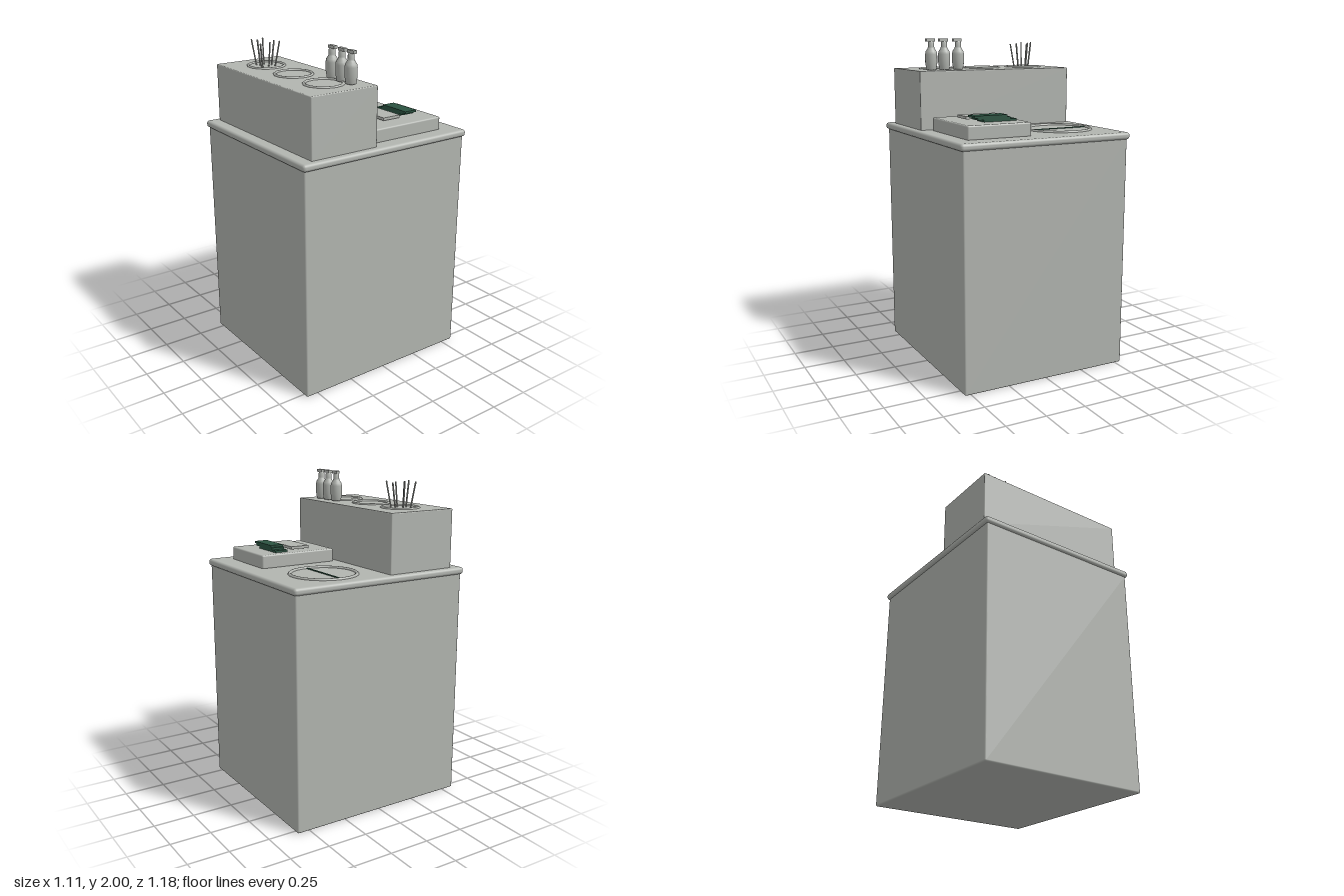
import * as THREE from 'three';
import { RoundedBoxGeometry } from 'three/addons/geometries/RoundedBoxGeometry.js';

const grey = new THREE.MeshStandardMaterial({ name: 'stone grey', color: 0xb2b5b0 });
const green = new THREE.MeshStandardMaterial({ name: 'dark green', color: 0x2b5341 });

export function createModel() {
  const model = new THREE.Group();
  model.name = 'servingCounter';

  const add = (name, geometry, material, x = 0, y = 0, z = 0, parent = model) => {
    const mesh = new THREE.Mesh(geometry, material);
    mesh.name = name;
    mesh.position.set(x, y, z);
    parent.add(mesh);
    return mesh;
  };
  // Box given by its minimum and maximum on each axis, rounded when r > 0
  const block = (name, [x0, x1], [y0, y1], [z0, z1], r = 0, material = grey) => {
    const size = [x1 - x0, y1 - y0, z1 - z0];
    const geometry = r ? new RoundedBoxGeometry(...size, 3, r) : new THREE.BoxGeometry(...size);
    return add(name, geometry, material, (x0 + x1) / 2, (y0 + y1) / 2, (z0 + z1) / 2);
  };
  const ring = (name, x, y, z, radius, tube, sides) => {
    const geometry = new THREE.TorusGeometry(radius, tube, 10, sides).rotateX(Math.PI / 2);
    return add(name, geometry, grey, x, y, z);
  };

  // Cabinet, worktop and raised service box
  block('cabinet', [-0.54, 0.54], [0, 1.42], [-0.58, 0.58], 0.01);
  block('worktop', [-0.555, 0.555], [1.412, 1.455], [-0.592, 0.592], 0.018);
  block('raisedBox', [-0.518, 0.516], [1.45, 1.81], [0.068, 0.516], 0.006);

  // Waste opening with its slot
  ring('wasteRing', -0.27, 1.455, -0.235, 0.197, 0.011, 48);
  block('wasteSlot', [-0.457, -0.085], [1.452, 1.46], [-0.24, -0.229], 0, green);

  // Tray with a card and a fanned stack of napkins
  block('tray', [0.05, 0.456], [1.45, 1.535], [-0.464, 0.036], 0.01);
  block('card', [0.11, 0.355], [1.543, 1.56], [-0.23, -0.108]);
  [[0.09, 0.3], [0.13, 0.34], [0.148, 0.361]].forEach((span, i) =>
    block('napkin', span, [1.536 + i * 0.0125, 1.5485 + i * 0.0125], [-0.354, -0.27], 0, green));

  // Round holders on the raised box
  for (const x of [-0.305, 0, 0.305]) ring('holderRing', x, 1.81, 0.287, 0.112, 0.009, 14);

  // Stirring sticks leaning outward from the first holder
  const sticks = [[-0.302, 0.242], [-0.242, 0.247], [-0.35, 0.28], [-0.265, 0.288],
    [-0.362, 0.338], [-0.317, 0.33], [-0.259, 0.347]];
  sticks.forEach(([x, z], i) => {
    const lean = new THREE.Vector3(x + 0.305, 0, z - 0.295).multiplyScalar(0.2);
    const foot = new THREE.Vector3(x, 1.805, z).sub(lean);
    const tip = new THREE.Vector3(x, 1.955 + (i % 3) * 0.006, z).add(lean);
    add('stirringStick', new THREE.TubeGeometry(new THREE.LineCurve3(foot, tip), 1, 0.005, 6), grey);
    // Closed stick end
    add('stickEnd', new THREE.SphereGeometry(0.005, 6, 4), grey, tip.x, tip.y, tip.z);
  });

  // Pump bottles
  const profile = [[0, 0], [0.028, 0], [0.031, 0.006], [0.037, 0.045], [0.037, 0.095],
    [0.034, 0.112], [0.022, 0.13], [0.019, 0.14], [0.019, 0.165], [0.013, 0.172], [0.011, 0.18], [0, 0.18]]
    .map(([r, y]) => new THREE.Vector2(r, y));
  const bottleBody = new THREE.LatheGeometry(profile, 16);
  const pumpHead = new THREE.BoxGeometry(0.056, 0.018, 0.024);
  for (const x of [0.22, 0.314, 0.4]) {
    const bottle = new THREE.Group();
    bottle.name = 'pumpBottle';
    bottle.position.set(x, 1.81, 0.169);
    add('bottleBody', bottleBody, grey, 0, 0, 0, bottle);
    add('pumpHead', pumpHead, grey, 0.007, 0.181, 0, bottle);
    model.add(bottle);
  }
  return model;
}
